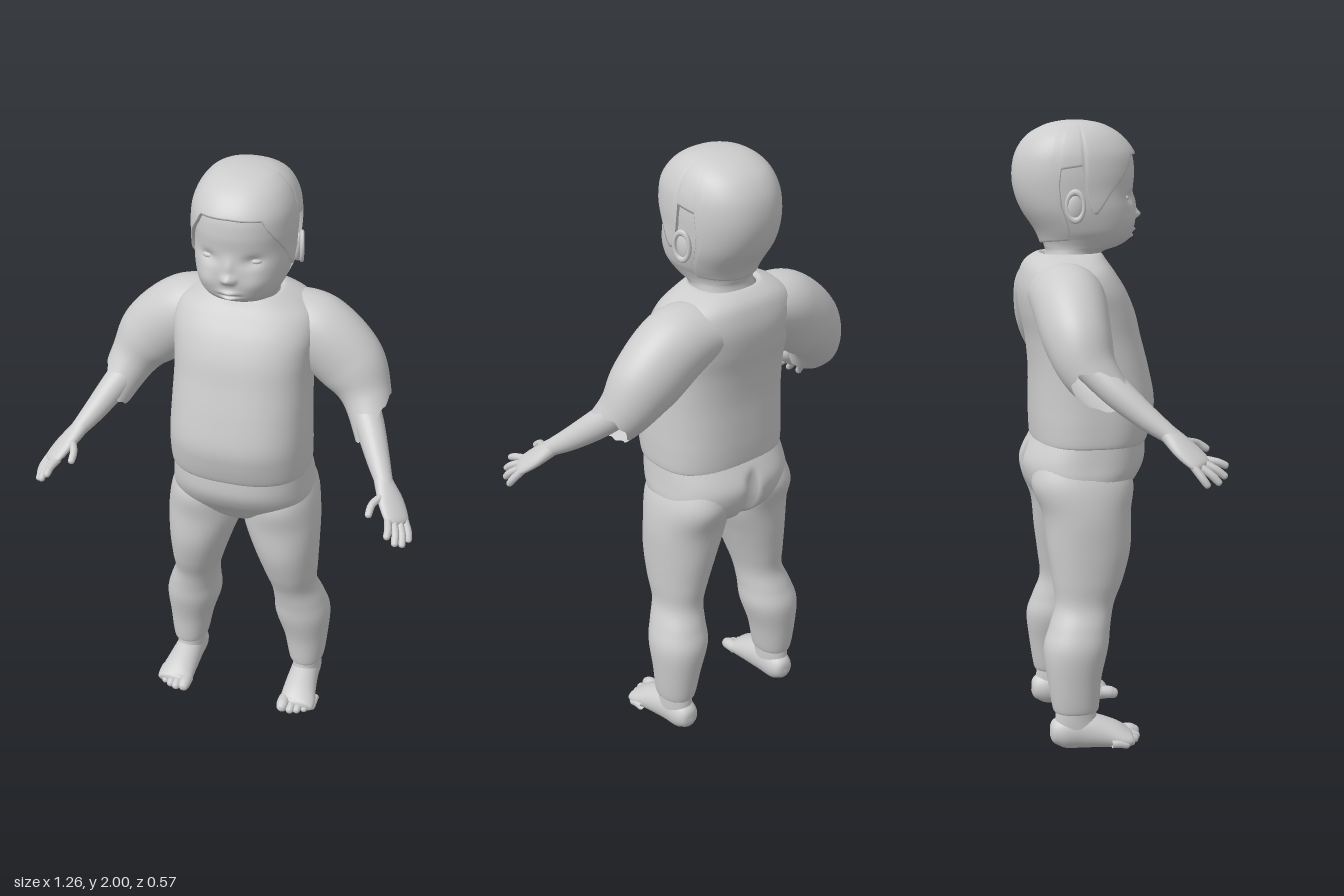
import * as THREE from 'three';

const V = (x, y, z) => new THREE.Vector3(x, y, z);

// Smooth (Catmull-Rom) reading of a table of cross-sections, t from 0 to 1
function sample(rows, t) {
  const f = Math.min(Math.max(t, 0), 1) * (rows.length - 1);
  const i = Math.min(Math.floor(f), rows.length - 2), k = f - i;
  const [a, b, c, d] = [i - 1, i, i + 1, i + 2].map((j) => rows[Math.min(Math.max(j, 0), rows.length - 1)]);
  return b.map((_, n) => b[n] + 0.5 * k * (c[n] - a[n] + k * (2 * a[n] - 5 * b[n] + 4 * c[n] - d[n]
    + k * (3 * (b[n] - c[n]) + d[n] - a[n]))));
}

// Closed-in-u surface from a point rule
function surface(nu, nv, point) {
  const pos = [], index = [];
  for (let j = 0; j <= nv; j++) {
    for (let i = 0; i < nu; i++) pos.push(...point(i / nu, j / nv).toArray());
  }
  for (let j = 0; j < nv; j++) {
    for (let i = 0; i < nu; i++) {
      const a = j * nu + i, b = j * nu + (i + 1) % nu;
      index.push(a, b, b + nu, a, b + nu, a + nu);
    }
  }
  const geo = new THREE.BufferGeometry();
  geo.setAttribute('position', new THREE.Float32BufferAttribute(pos, 3));
  geo.setIndex(index);
  geo.computeVertexNormals();
  return geo;
}

// Point on a horizontal section: row = [y, half width, front z, back z, centre x]
function onSection([y, rx, zf, zb, cx], angle, power, grow = 0) {
  const p = (c) => Math.sign(c) * Math.abs(c) ** (2 / power);
  const g = grow * Math.min(1, Math.max(rx, 0) / 0.08);
  return V(cx + (Math.max(rx, 0) + g) * p(Math.sin(angle)), y,
    (zf + zb) / 2 + (Math.max((zf - zb) / 2, 0) + g) * p(Math.cos(angle)));
}

function loft(rows, power, nu = 48, nv = 48, shape = (p) => p) {
  return surface(nu, nv, (u, v) => shape(onSection(sample(rows, v), u * Math.PI * 2, power)));
}

// Limb along a path: row = [x, y, z, half width, half thickness]; cut(angle) shortens its end
function limb(rows, ref, nu = 20, nv = 24, cut = () => 0) {
  return surface(nu, nv, (u, v) => {
    const a = u * Math.PI * 2, t = v * (1 - cut(a));
    const r = sample(rows, t), p = sample(rows, t - 0.02), q = sample(rows, t + 0.02);
    const T = V(q[0] - p[0], q[1] - p[1], q[2] - p[2]).normalize();
    const S = ref.clone().cross(T).normalize(), B = T.clone().cross(S);
    return V(r[0], r[1], r[2]).addScaledVector(S, Math.max(r[3], 0) * Math.cos(a))
      .addScaledVector(B, Math.max(r[4], 0) * Math.sin(a));
  });
}

// Rounded finger or toe through three points
function digit(a, b, c, r) {
  const end = c.clone().sub(b).normalize();
  const row = (p, k) => [p.x, p.y, p.z, r * k, r * k];
  const back = (d) => c.clone().addScaledVector(end, -d * r);
  return limb([row(a, 1.05), row(b, 1.05), row(back(1.1), 0.98), row(back(0.3), 0.7), row(c, 0)], V(0.6, 0.75, 0.2), 12, 16);
}

function ball(x, y, z, rx, ry, rz) {
  return new THREE.SphereGeometry(1, 24, 16).scale(rx, ry, rz).translate(x, y, z);
}

function mirrored(geo) {
  const g = geo.clone().scale(-1, 1, 1), ix = g.index.array;
  for (let i = 0; i < ix.length; i += 3) [ix[i], ix[i + 1]] = [ix[i + 1], ix[i]];
  g.computeVertexNormals();
  return g;
}

export function createModel() {
  const root = new THREE.Group();
  const grey = new THREE.MeshStandardMaterial({ color: 0xcccccc, side: THREE.DoubleSide });
  grey.name = 'light grey';
  const add = (name, geo) => {
    const m = new THREE.Mesh(geo, grey);
    m.name = name;
    root.add(m);
  };
  const pair = (name, geo) => {
    add('left' + name, geo);
    add('right' + name, mirrored(geo));
  };

  // Head and neck, with the face shaped by soft bumps [x, y, depth, width, height]
  const headRows = [
    [1.54, 0.105, -0.02, -0.19, 0], [1.585, 0.102, 0.0, -0.18, 0], [1.605, 0.108, 0.055, -0.183, 0],
    [1.628, 0.12, 0.09, -0.19, 0], [1.66, 0.136, 0.102, -0.205, 0], [1.72, 0.15, 0.106, -0.245, 0],
    [1.78, 0.153, 0.1, -0.268, 0], [1.84, 0.154, 0.104, -0.274, 0], [1.9, 0.146, 0.094, -0.262, 0],
    [1.945, 0.122, 0.055, -0.228, 0], [1.975, 0.082, 0.0, -0.17, 0], [1.988, 0.036, -0.05, -0.12, 0],
    [1.99, 0, -0.083, -0.083, 0],
  ];
  const bumps = [
    [0, 1.703, 0.022, 0.016, 0.014], [0, 1.74, 0.009, 0.013, 0.03],
    [0.016, 1.698, 0.008, 0.008, 0.009], [-0.016, 1.698, 0.008, 0.008, 0.009],
    [0, 1.655, 0.012, 0.026, 0.007], [0, 1.634, 0.011, 0.022, 0.008], [0, 1.644, -0.006, 0.03, 0.004],
    [0.07, 1.76, -0.014, 0.028, 0.018], [-0.07, 1.76, -0.014, 0.028, 0.018],
    [0.08, 1.685, 0.009, 0.035, 0.03], [-0.08, 1.685, 0.009, 0.035, 0.03],
  ];
  add('head', loft(headRows, 2.2, 128, 110, (p) => {
    if (p.z < -0.02) return p;
    for (const [x, y, d, w, h] of bumps) p.z += d * Math.exp(-(((p.x - x) / w) ** 2) - ((p.y - y) / h) ** 2);
    return p;
  }));
  pair('Eye', ball(0.07, 1.757, 0.061, 0.024, 0.011, 0.016));

  // Hair cap that follows a hairline [degrees from the front, height]
  const line = [[0, 1.897], [35, 1.892], [40, 1.865], [83, 1.71], [87, 1.715], [90, 1.86], [108, 1.85],
    [111, 1.77], [115, 1.63], [181, 1.615]];
  const hairline = (deg) => {
    const i = line.findIndex((p) => p[0] > deg), [a, b] = [line[i - 1], line[i]];
    return a[1] + (b[1] - a[1]) * (deg - a[0]) / (b[0] - a[0]);
  };
  const levelOf = (y) => {
    let lo = 0, hi = 1;
    for (let i = 0; i < 24; i++) {
      const mid = (lo + hi) / 2;
      if (sample(headRows, mid)[0] < y) lo = mid; else hi = mid;
    }
    return lo;
  };
  add('hair', surface(180, 40, (u, v) => {
    const a = u * Math.PI * 2, deg = Math.abs(((u * 360 + 180) % 360) - 180);
    const low = levelOf(hairline(deg)), step = Math.max(0, v - 0.025) / 0.975;
    const p = onSection(sample(headRows, low + (1 - low) * step), a, 2.2, v === 0 ? -0.006 : 0.011);
    p.y += 0.01 * THREE.MathUtils.smoothstep(p.y, 1.9, 1.985);
    return p;
  }));

  // Ears
  pair('Ear', ball(0.157, 1.735, -0.108, 0.016, 0.046, 0.03));
  pair('EarRim', new THREE.TorusGeometry(0.03, 0.007, 10, 28).scale(0.9, 1.45, 1)
    .rotateY(Math.PI / 2 + 0.3).translate(0.168, 1.738, -0.11));

  // Shirt body with a turned hem and collar
  add('shirt', loft([
    [0.99, 0.215, 0.122, -0.218, 0], [0.984, 0.228, 0.137, -0.23, 0], [1.05, 0.23, 0.157, -0.235, 0],
    [1.12, 0.228, 0.165, -0.235, 0], [1.22, 0.224, 0.146, -0.235, 0], [1.32, 0.222, 0.12, -0.245, 0],
    [1.4, 0.228, 0.1, -0.262, 0], [1.47, 0.235, 0.07, -0.268, 0], [1.525, 0.22, 0.036, -0.258, 0],
    [1.56, 0.175, 0.012, -0.24, 0], [1.585, 0.115, -0.005, -0.205, 0], [1.575, 0.1, -0.015, -0.19, 0],
  ], 2.5, 64, 72));

  // Sleeves with torn ends
  const torn = (a) => 0.13 - 0.11 * Math.cos(a - 2.3) + 0.03 * Math.abs(((a * 1.6) % 1) - 0.5);
  pair('Sleeve', limb([
    [0.12, 1.47, -0.145, 0.095, 0.11], [0.22, 1.44, -0.138, 0.118, 0.115], [0.33, 1.345, -0.13, 0.114, 0.104],
    [0.395, 1.25, -0.1, 0.08, 0.085], [0.45, 1.13, -0.005, 0.055, 0.056],
  ], V(0, 0, 1), 56, 48, torn));

  // Forearm, palm and fingers
  pair('Forearm', limb([
    [0.37, 1.27, -0.1, 0.05, 0.05], [0.425, 1.195, -0.025, 0.047, 0.047], [0.475, 1.125, 0.055, 0.038, 0.037],
    [0.51, 1.082, 0.112, 0.03, 0.027], [0.53, 1.06, 0.14, 0.03, 0.02],
  ], V(0.55, 0.72, 0.31), 28, 28));
  pair('Palm', limb([
    [0.495, 1.1, 0.09, 0.026, 0.024], [0.515, 1.075, 0.12, 0.034, 0.025], [0.545, 1.04, 0.155, 0.046, 0.022],
    [0.572, 1.007, 0.19, 0.045, 0.017], [0.582, 0.995, 0.202, 0.034, 0.011], [0.585, 0.991, 0.206, 0, 0],
  ], V(0.55, 0.72, 0.31), 28, 28));
  const fingers = {
    IndexFinger: [V(0.55, 1.01, 0.21), V(0.561, 1.002, 0.25), V(0.564, 0.987, 0.285)],
    MiddleFinger: [V(0.565, 1.005, 0.2), V(0.582, 0.985, 0.24), V(0.589, 0.958, 0.275)],
    RingFinger: [V(0.58, 1.0, 0.186), V(0.6, 0.972, 0.223), V(0.608, 0.942, 0.252)],
    LittleFinger: [V(0.593, 0.998, 0.17), V(0.612, 0.967, 0.192), V(0.621, 0.937, 0.213)],
    Thumb: [V(0.525, 1.062, 0.15), V(0.497, 1.05, 0.2), V(0.492, 1.025, 0.242)],
  };
  for (const [name, pts] of Object.entries(fingers)) pair(name, digit(...pts, 0.0115));

  // Trousers: hips with a rear crease, and legs
  add('hips', loft([
    [0.735, 0, -0.07, -0.07, 0], [0.755, 0.07, 0.0, -0.15, 0], [0.79, 0.17, 0.045, -0.21, 0],
    [0.83, 0.226, 0.078, -0.243, 0], [0.88, 0.235, 0.115, -0.263, 0], [0.93, 0.23, 0.135, -0.263, 0],
    [1.0, 0.222, 0.135, -0.228, 0],
  ], 2.4, 96, 48, (p) => {
    if (p.z < -0.1) p.z += 0.045 * Math.exp(-((p.x / 0.016) ** 2)) * (1 - THREE.MathUtils.smoothstep(p.y, 0.9, 0.98));
    return p;
  }));
  pair('Leg', loft([
    [0.138, 0.045, -0.06, -0.18, 0.217], [0.128, 0.059, -0.048, -0.195, 0.217], [0.23, 0.076, -0.038, -0.212, 0.212],
    [0.33, 0.094, -0.014, -0.222, 0.2], [0.4, 0.086, -0.005, -0.202, 0.19], [0.47, 0.077, 0.01, -0.18, 0.175],
    [0.55, 0.09, 0.042, -0.188, 0.165], [0.65, 0.109, 0.068, -0.202, 0.15], [0.76, 0.128, 0.072, -0.215, 0.132],
    [0.86, 0.116, 0.08, -0.248, 0.128], [0.95, 0.09, 0.04, -0.22, 0.115],
  ], 2.1, 40, 64));

  // Feet with flat soles, ankles and toes
  const foot = limb([
    [0.215, 0.045, -0.207, 0, 0], [0.215, 0.046, -0.198, 0.03, 0.032], [0.215, 0.052, -0.165, 0.046, 0.054],
    [0.217, 0.055, -0.1, 0.05, 0.06], [0.222, 0.042, -0.02, 0.057, 0.048], [0.228, 0.028, 0.035, 0.062, 0.032],
    [0.228, 0.024, 0.055, 0.05, 0.02], [0.228, 0.022, 0.062, 0, 0],
  ], V(0, 1, 0), 32, 40);
  const fp = foot.attributes.position;
  for (let i = 0; i < fp.count; i++) fp.setY(i, Math.max(fp.getY(i), 0));
  foot.computeVertexNormals();
  pair('Foot', foot);
  pair('Ankle', loft([
    [0.04, 0.046, -0.02, -0.19, 0.217], [0.09, 0.047, -0.05, -0.19, 0.217], [0.15, 0.047, -0.06, -0.183, 0.217],
  ], 2, 28, 12));
  for (let i = 0; i < 5; i++) {
    const r = i ? 0.0165 - 0.001 * i : 0.021, x = i ? 0.189 + 0.023 * i : 0.183, z = 0.094 - 0.003 * i * i;
    pair('Toe' + (i + 1), digit(V(x, r + 0.01, z - 0.06), V(x, r + 0.01, z - 0.035), V(x, r + 0.002, z), r));
  }
  return root;
}
